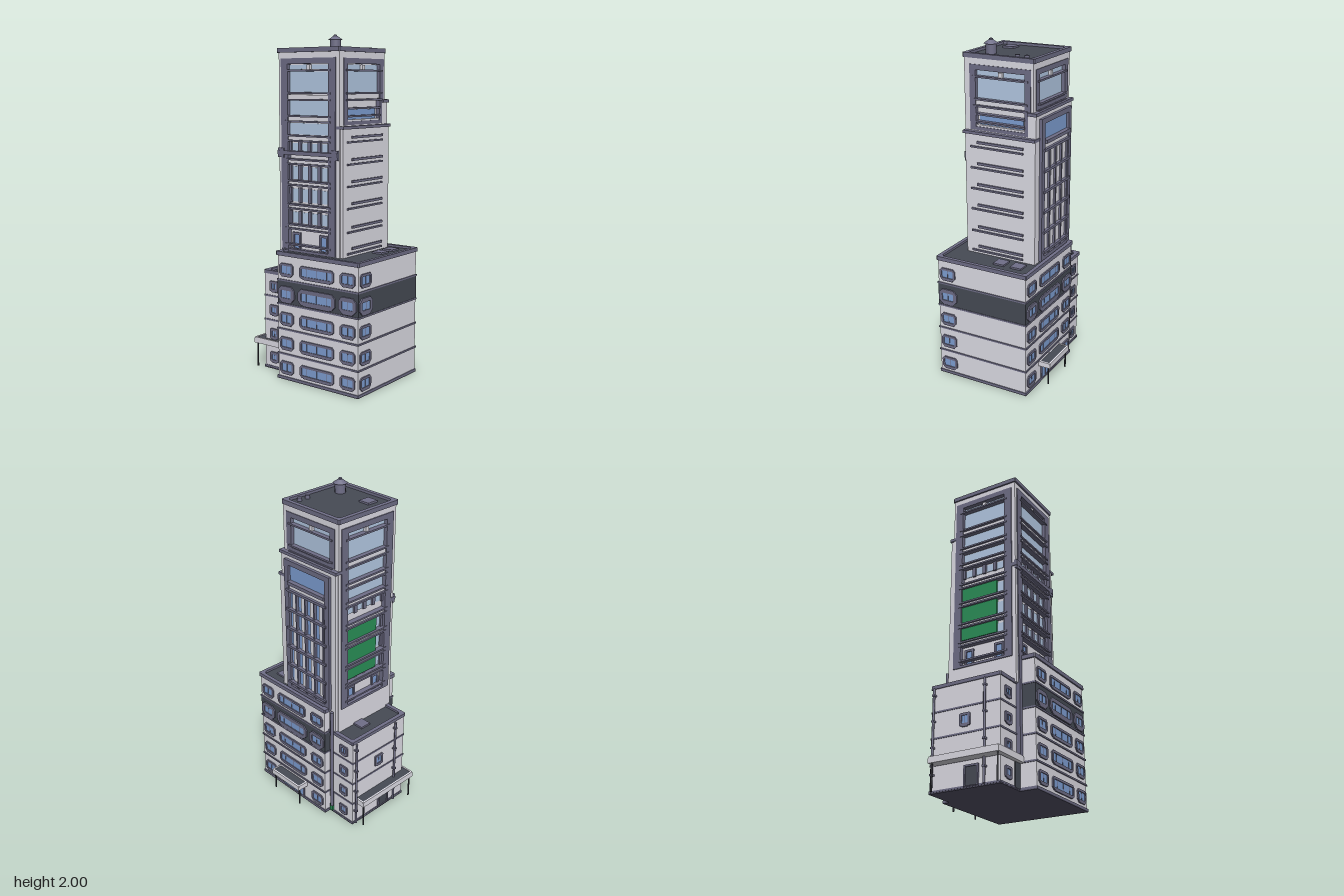
import * as THREE from 'three';

const mat = (name, color) => Object.assign(new THREE.MeshStandardMaterial({ color }), { name });
const M = {
  wall: mat('pale wall', 0xe0dfe8), trim: mat('violet grey trim', 0x706f88),
  dark: mat('charcoal roof', 0x464b55), glass: mat('blue glass', 0x80a1d6),
  sky: mat('pale glass', 0xb5cbe6), green: mat('green panel', 0x2a9058),
  under: mat('dark underside', 0x58566b), post: mat('black metal', 0x34363e),
};

function box(parent, name, m, x0, x1, y0, y1, z0, z1) {
  const mesh = new THREE.Mesh(new THREE.BoxGeometry(x1 - x0, y1 - y0, z1 - z0), m);
  mesh.position.set((x0 + x1) / 2, (y0 + y1) / 2, (z0 + z1) / 2);
  mesh.name = name;
  parent.add(mesh);
}

// Rectangle outline with cut corners
function outline(T, [x0, x1, y0, y1], c) {
  const p = [[x0 + c, y0], [x1 - c, y0], [x1, y0 + c], [x1, y1 - c], [x1 - c, y1], [x0 + c, y1], [x0, y1 - c], [x0, y0 + c]];
  return new T(p.map(([x, y]) => new THREE.Vector2(x, y)));
}

// Upright panel from depth d0 to d1 with an opening
function panel(parent, name, m, rect, d0, d1, hole, c = 0.001, hc = c) {
  const s = outline(THREE.Shape, rect, c);
  s.holes.push(outline(THREE.Path, hole, hc));
  const mesh = new THREE.Mesh(new THREE.ExtrudeGeometry(s, { depth: d1 - d0, bevelEnabled: false }), m);
  mesh.position.z = d0;
  mesh.name = name;
  parent.add(mesh);
  return mesh;
}

// Flat roof rim: plan rectangle [x0, x1, z0, z1], width w
function rim(parent, name, m, [x0, x1, z0, z1], y0, y1, w, hc = 0.015) {
  const mesh = panel(parent, name, m, [x0, x1, -z1, -z0], 0, y1 - y0,
    [x0 + w, x1 - w, -z1 + w, -z0 - w], 0.006, hc);
  mesh.rotation.x = -Math.PI / 2;
  mesh.position.set(0, y0, 0);
}

function cyl(parent, name, m, x, z, y0, y1, r0, r1 = r0, n = 10) {
  const mesh = new THREE.Mesh(new THREE.CylinderGeometry(r1, r0, y1 - y0, n), m);
  mesh.position.set(x, (y0 + y1) / 2, z);
  mesh.name = name;
  parent.add(mesh);
}

// Framed window with border e, corner cut c, mullions and a sill
function windowUnit(parent, u, y, w, h, d, e = 0.014, c = e) {
  const g = new THREE.Group();
  g.name = 'window';
  const r = [u - w / 2, u + w / 2, y - h / 2, y + h / 2];
  panel(g, 'windowFrame', M.trim, [r[0] - e, r[1] + e, r[2] - e, r[3] + e], d, d + 0.008, r, c, 0.004);
  box(g, 'windowGlass', M.glass, r[0], r[1], r[2], r[3], d, d + 0.003);
  const n = Math.max(1, Math.round(w / 0.07));
  for (let i = 0; i < n; i++) {
    const x = r[0] + (w * (i + 0.5)) / n;
    box(g, 'mullion', M.trim, x - 0.0015, x + 0.0015, r[2], r[3], d, d + 0.005);
  }
  box(g, 'sill', M.trim, u - w * 0.45, u + w * 0.45, r[2] - e - 0.005, r[2] - e, d, d + 0.008);
  parent.add(g);
}

// Tall recessed facade bay shared by the front and side faces
function bay(parent, c, d, withGreen) {
  const L = c - 0.148, R = c + 0.148, back = d - 0.02;
  const glass = [[1.81, 1.835], [1.675, 1.797], [1.55, 1.637], [1.44, 1.505]];
  for (const [a, b] of glass) box(parent, 'largeWindow', M.sky, L, R, a, b, back, back + 0.004);
  for (const y of [1.655, 1.53, 1.42, 1.285, 1.16, 1.02, 0.902])
    box(parent, 'floorSlab', M.wall, L, R, y - 0.012, y + 0.012, back, d);
  for (const y of [1.803, 1.676, 1.638, 1.545, 1.515, 1.433, 1.404, 1.296, 1.27, 1.172, 1.148, 1.033, 1.01, 0.915, 0.892, 0.797])
    box(parent, 'railing', M.trim, L - 0.018, R + 0.018, y - 0.005, y + 0.005, back, d + 0.012);
  box(parent, 'topBracket', M.wall, c - 0.012, c + 0.012, 1.808, 1.835, back, d);
  // Rows of narrow panes between pillars
  for (const [a, b] of [[1.345, 1.39], [1.18, 1.255], [1.05, 1.125], [0.925, 0.988]]) {
    for (let i = 0; i < 4; i++) {
      const u = c + (i - 1.5) * 0.072;
      box(parent, 'pane', M.sky, u - 0.022, u + 0.022, a, b, back, back + 0.004);
    }
    for (let i = 0; i < 5; i++) {
      const u = c + (i - 2) * 0.072;
      box(parent, 'pillar', M.trim, u - 0.011, u + 0.011, a - 0.005, b + 0.008, back, back + 0.012);
    }
  }
  for (const s of [-1, 1]) {
    const u = c + s * 0.1;
    panel(parent, 'terraceDoorFrame', M.trim, [u - 0.03, u + 0.03, 0.77, 0.868], back, back + 0.01, [u - 0.018, u + 0.018, 0.775, 0.855]);
    box(parent, 'terraceDoorGlass', M.glass, u - 0.018, u + 0.018, 0.775, 0.855, back, back + 0.003);
  }
  if (withGreen) for (const [a, b] of [[0.93, 1.005], [1.038, 1.143], [1.177, 1.265]])
    box(parent, 'greenPanel', M.green, L, c + 0.09, a, b, back, d - 0.002);
}

// Large upper window bay on the side and back faces
function upperBay(parent, c, d, low) {
  const L = c - 0.155, R = c + 0.155, b = d - 0.02;
  panel(parent, 'upperFrame', M.trim, [c - 0.193, c + 0.193, low, 1.87], b, d + 0.006, [L, R, low + 0.02, 1.84]);
  box(parent, 'largeWindow', M.sky, L, R, 1.675, 1.835, b, b + 0.004);
  for (const y of [1.803, 1.676, 1.638]) box(parent, 'railing', M.trim, L - 0.02, R + 0.02, y - 0.005, y + 0.005, b, d + 0.012);
  box(parent, 'floorSlab', M.wall, L, R, 1.645, 1.67, b, d);
  box(parent, 'topBracket', M.wall, c - 0.012, c + 0.012, 1.808, 1.835, b, d);
}

export function createModel() {
  const model = new THREE.Group();
  model.name = 'officeTower';
  const side = (name, angle) => {
    const g = new THREE.Group();
    g.name = name;
    g.rotation.y = angle;
    model.add(g);
    return g;
  };
  const front = side('frontFace', 0), right = side('leftHandFace', Math.PI / 2);
  const back = side('backFace', Math.PI), left = side('rightHandFace', -Math.PI / 2);

  // Podium
  box(model, 'podium', M.wall, -0.165, 0.415, 0.004, 0.75, -0.26, 0.322);
  box(model, 'podiumUnderside', M.under, -0.17, 0.42, 0, 0.006, -0.266, 0.328);
  box(model, 'darkStorey', M.dark, -0.167, 0.417, 0.46, 0.595, -0.262, 0.324);
  box(model, 'podiumRoof', M.dark, -0.16, 0.41, 0.75, 0.753, -0.255, 0.318);
  rim(model, 'podiumParapet', M.trim, [-0.175, 0.423, -0.268, 0.331], 0.742, 0.766, 0.023);
  for (const [y, h] of [[0.012, 0.012], [0.155, 0.01], [0.305, 0.01], [0.455, 0.01], [0.598, 0.01]])
    box(model, 'podiumBand', M.trim, -0.17, 0.42, y - h / 2, y + h / 2, -0.266, 0.328);

  // Side wing
  box(model, 'wing', M.wall, -0.36, -0.16, 0.004, 0.597, -0.218, 0.22);
  box(model, 'wingUnderside', M.under, -0.364, -0.16, 0, 0.006, -0.222, 0.224);
  box(model, 'wingRoof', M.dark, -0.355, -0.16, 0.597, 0.6, -0.215, 0.215);
  rim(model, 'wingParapet', M.trim, [-0.366, -0.14, -0.228, 0.226], 0.592, 0.613, 0.024);
  for (const y of [0.012, 0.155, 0.305, 0.455])
    box(model, 'wingBand', M.trim, -0.364, -0.16, y - 0.005, y + 0.005, -0.222, 0.224);

  // Podium and wing windows, storey by storey
  [0.075, 0.222, 0.37, 0.517, 0.662].forEach((y, i) => {
    const lift = i === 3 ? 0.002 : 0, e = i === 3 ? 0.024 : 0.014;
    for (const [f, d, s] of [[front, 0.322, 1], [back, 0.26, -1]]) {
      windowUnit(f, s * -0.098, y, 0.075, 0.046, d + lift, e);
      windowUnit(f, s * 0.345, y, 0.075, 0.046, d + lift, e);
      if (s > 0 || i > 0) windowUnit(f, s * 0.125, y, 0.22, 0.046, d + lift, e);
      if (i < 4) windowUnit(f, s * -0.285, y, 0.036, 0.034, s > 0 ? 0.22 : 0.218, 0.015, 0.006);
    }
    windowUnit(right, -0.257, y, 0.075, 0.046, 0.415 + lift, e);
  });
  windowUnit(left, 0, 0.38, 0.04, 0.045, 0.36, 0.014, 0.005);
  panel(left, 'sideDoorFrame', M.trim, [0, 0.09, 0.01, 0.125], 0.36, 0.37, [0.01, 0.08, 0.015, 0.115]);
  box(left, 'sideDoor', M.dark, 0.01, 0.08, 0.015, 0.115, 0.36, 0.364);
  box(front, 'frontDoor', M.dark, -0.22, -0.168, 0.01, 0.15, 0.22, 0.226);

  // Back entrance
  panel(back, 'entranceFrame', M.trim, [-0.225, -0.025, 0.01, 0.115], 0.26, 0.268, [-0.215, -0.035, 0.015, 0.105]);
  box(back, 'entranceGlass', M.glass, -0.215, -0.035, 0.015, 0.105, 0.26, 0.264);
  for (const u of [-0.17, -0.125, -0.08]) box(back, 'entranceMullion', M.trim, u - 0.002, u + 0.002, 0.015, 0.105, 0.26, 0.267);

  // Canopies on posts
  for (const [x0, x1, z0, z1, y0, y1, posts] of [
    [-0.425, -0.17, -0.19, 0.25, 0.15, 0.186, [[-0.41, -0.173], [-0.41, 0.235]]],
    [-0.003, 0.25, -0.335, -0.26, 0.113, 0.145, [[0.01, -0.318], [0.237, -0.318]]]]) {
    box(model, 'canopy', M.wall, x0, x1, y0, y1 - 0.006, z0, z1);
    rim(model, 'canopyRim', M.wall, [x0, x1, z0, z1], y1 - 0.006, y1, 0.01, 0.002);
    box(model, 'canopyTop', M.dark, x0 + 0.01, x1 - 0.01, y1 - 0.006, y1 - 0.003, z0 + 0.01, z1 - 0.01);
    for (const [x, z] of posts) cyl(model, 'canopyPost', M.post, x, z, 0, y0, 0.005);
  }

  // Drainpipes and corner duct
  for (const z of [-0.2, 0.13]) {
    cyl(model, 'drainpipe', M.trim, -0.374, z, 0.01, 0.59, 0.007);
    for (const y of [0.1, 0.25, 0.4, 0.55]) box(model, 'pipeClip', M.trim, -0.383, -0.358, y - 0.005, y + 0.005, z - 0.009, z + 0.009);
  }
  box(model, 'frontDuct', M.trim, -0.198, -0.172, 0.186, 0.77, 0.2, 0.245);
  cyl(model, 'cornerPipe', M.trim, -0.2, -0.235, 0.06, 0.75, 0.01);
  box(model, 'cornerCabinet', M.green, -0.2, -0.178, 0.015, 0.06, -0.232, -0.218);

  // Tower core and outer skins
  box(model, 'towerCore', M.wall, -0.197, 0.197, 0.598, 1.912, -0.178, 0.214);
  panel(front, 'frontSkin', M.wall, [-0.22, 0.22, 0.598, 1.912], 0.212, 0.236, [-0.17, 0.165, 0.765, 1.85]);
  panel(left, 'sideSkin', M.wall, [-0.2, 0.235, 0.598, 1.912], 0.195, 0.22, [-0.15, 0.18, 0.765, 1.85]);
  panel(right, 'sideSkin', M.wall, [-0.235, 0.2, 0.76, 1.912], 0.195, 0.22, [-0.18, 0.15, 1.53, 1.85]);
  panel(back, 'backSkin', M.wall, [-0.22, 0.22, 0.598, 1.912], 0.176, 0.2, [-0.17, 0.17, 1.66, 1.85]);
  panel(front, 'frontFrame', M.trim, [-0.2, 0.195, 0.755, 1.872], 0.214, 0.242, [-0.151, 0.145, 0.77, 1.84]);
  panel(left, 'sideFrame', M.trim, [-0.182, 0.213, 0.755, 1.872], 0.197, 0.226, [-0.133, 0.163, 0.77, 1.84]);
  bay(front, -0.003, 0.236, false);
  bay(left, 0.015, 0.218, true);
  upperBay(right, -0.008, 0.218, 1.5);
  upperBay(back, 0, 0.198, 1.645);
  box(right, 'lowerWindow', M.glass, -0.15, 0.13, 1.52, 1.585, 0.198, 0.203);
  for (const y of [1.548, 1.592]) box(right, 'railing', M.trim, -0.16, 0.15, y - 0.005, y + 0.005, 0.198, 0.23);

  // Cornice with end blocks on the front
  box(front, 'cornice', M.trim, -0.225, 0.215, 1.322, 1.345, 0.214, 0.25);
  for (const u of [-0.2, 0.195]) box(front, 'corniceBlock', M.trim, u - 0.022, u + 0.022, 1.305, 1.36, 0.23, 0.248);

  // Lower side block with slats
  box(model, 'sideBlock', M.wall, 0.19, 0.238, 0.75, 1.48, -0.222, 0.228);
  box(model, 'sideBlockCap', M.trim, 0.19, 0.249, 1.478, 1.495, -0.224, 0.238);
  for (const y of [1.405, 1.28, 1.155, 1.03, 0.895, 0.772]) {
    box(right, 'longSlat', M.trim, -0.19, 0.148, y - 0.005, y + 0.005, 0.236, 0.248);
    box(right, 'shortSlat', M.trim, -0.148, 0.148, y + 0.02, y + 0.034, 0.236, 0.248);
  }

  // Back block with framed glazing
  box(model, 'backBlock', M.wall, -0.215, 0.225, 0.598, 1.625, -0.22, -0.17);
  box(model, 'backBlockCap', M.trim, -0.225, 0.235, 1.62, 1.638, -0.226, -0.17);
  panel(back, 'backFrame', M.trim, [-0.185, 0.18, 0.755, 1.6], 0.218, 0.238, [-0.15, 0.145, 0.78, 1.57]);
  box(back, 'backGlazing', M.glass, -0.15, 0.145, 0.78, 1.57, 0.218, 0.222);
  box(back, 'backLedge', M.trim, -0.148, 0.15, 1.455, 1.475, 0.218, 0.25);
  box(back, 'backLintel', M.wall, -0.15, 0.145, 1.41, 1.455, 0.218, 0.23);
  for (let i = 0; i < 4; i++) {
    const u = -0.113 + i * 0.074;
    box(back, 'backPier', M.wall, u - 0.018, u + 0.018, 0.78, 1.41, 0.218, 0.227);
    box(back, 'backMullion', M.trim, u + 0.018, u + 0.029, 0.78, 1.41, 0.218, 0.238);
  }
  for (let i = 0; i < 6; i++)
    box(back, 'backRail', M.trim, -0.165, 0.16, 0.8 + i * 0.122, 0.815 + i * 0.122, 0.22, 0.246);

  // Tower roof, tank, vents and hatches
  box(model, 'towerRoof', M.dark, -0.215, 0.215, 1.91, 1.916, -0.195, 0.23);
  rim(model, 'towerParapet', M.trim, [-0.229, 0.225, -0.207, 0.245], 1.905, 1.931, 0.025);
  cyl(model, 'tank', M.trim, 0.108, 0.128, 1.914, 1.975, 0.031, 0.031, 16);
  cyl(model, 'tankLid', M.trim, 0.108, 0.128, 1.972, 1.994, 0.042, 0.012, 12);
  cyl(model, 'tankKnob', M.trim, 0.108, 0.128, 1.99, 2, 0.011);
  for (const z of [-0.128, -0.07]) cyl(model, 'roofVent', M.trim, 0.162, z, 1.914, 1.936, 0.014, 0.014, 12);
  for (const [x, z, y] of [[-0.112, 0.127, 1.914], [0.307, -0.153, 0.75], [0.307, -0.042, 0.75], [-0.252, -0.04, 0.598]])
    box(model, 'roofHatch', M.trim, x - 0.035, x + 0.035, y, y + 0.013, z - 0.035, z + 0.035);
  return model;
}
